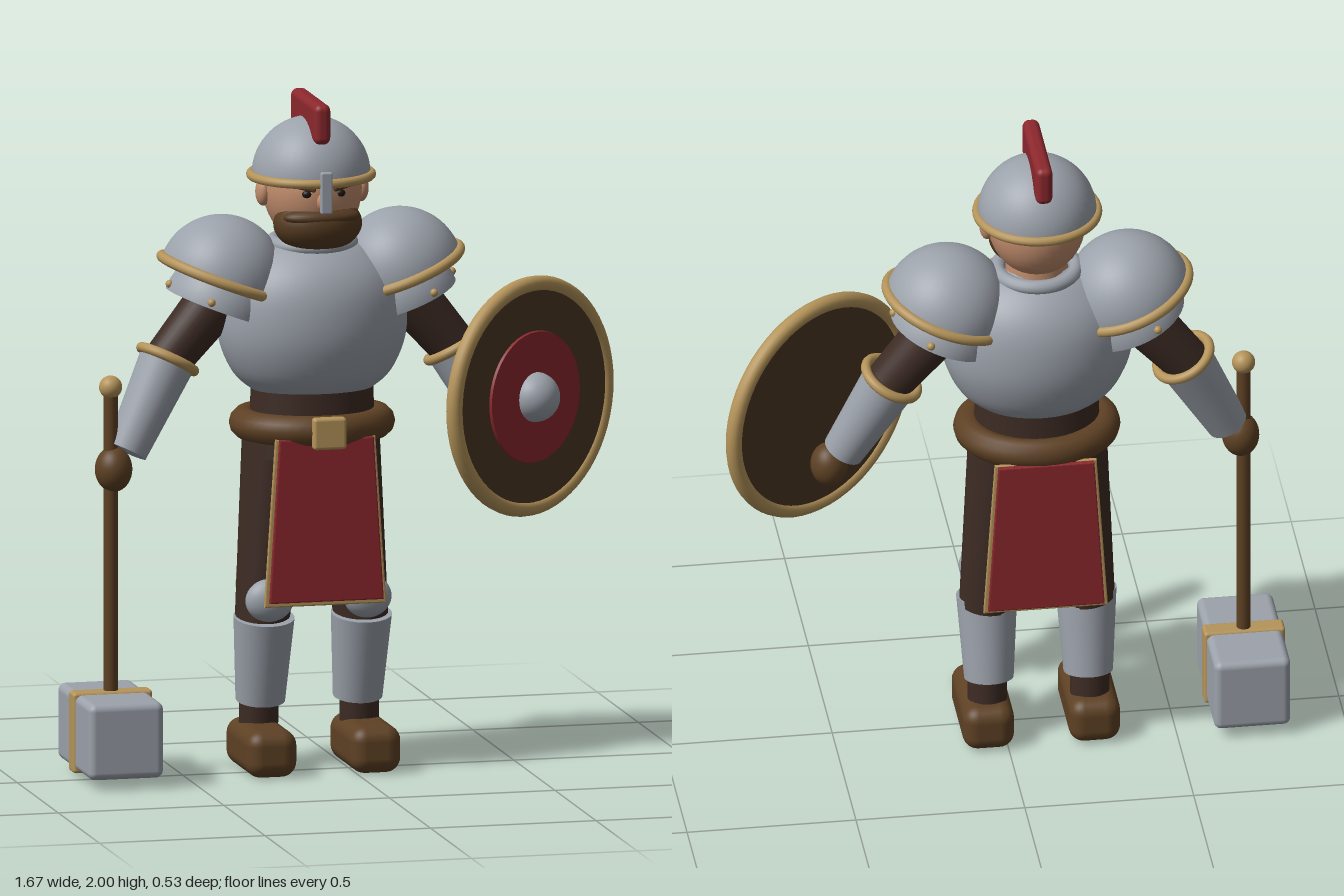
import * as THREE from 'three';
import { RoundedBoxGeometry } from 'three/addons/geometries/RoundedBoxGeometry.js';

const mat = (name, color, side = THREE.FrontSide) => {
  const m = new THREE.MeshStandardMaterial({ color, side });
  m.name = name;
  return m;
};

export function createModel() {
  const steel = mat('steel', 0x9ca2ab, THREE.DoubleSide);
  const gold = mat('brass', 0xb5945a);
  const red = mat('red', 0x8c282d);
  const leather = mat('leather', 0x5e4124);
  const cloth = mat('dark cloth', 0x3d2b24);
  const wood = mat('shield wood', 0x4d3824);
  const hair = mat('hair', 0x553a20);
  const skin = mat('skin', 0xc08c6c);
  const black = mat('eye black', 0x1c1614);

  const model = new THREE.Group();
  model.name = 'armouredWarrior';
  const body = new THREE.Group();
  body.name = 'body';
  body.position.x = -0.1;
  model.add(body);

  const V = (x, y, z) => new THREE.Vector3(x, y, z);
  const add = (parent, name, geo, material, x = 0, y = 0, z = 0) => {
    const m = new THREE.Mesh(geo, material);
    m.name = name;
    m.position.set(x, y, z);
    parent.add(m);
    return m;
  };
  const ball = (parent, name, material, p, rx, ry = rx, rz = rx) => {
    const m = add(parent, name, new THREE.SphereGeometry(1, 32, 20), material, ...p);
    m.scale.set(rx, ry, rz);
    return m;
  };
  const box = (parent, name, material, p, w, h, d, r) =>
    add(parent, name, new RoundedBoxGeometry(w, h, d, 4, r), material, ...p);
  const dome = (r) => new THREE.SphereGeometry(r, 40, 16, 0, Math.PI * 2, 0, Math.PI / 2);
  // flat ring around the y axis
  const ring = (R, t) => new THREE.TorusGeometry(R, t, 12, 48).rotateX(Math.PI / 2);
  // tapered limb from a to b
  const limb = (name, material, a, b, ra, rb) => {
    const d = b.clone().sub(a);
    const m = add(body, name, new THREE.CylinderGeometry(rb, ra, d.length(), 32), material);
    m.position.copy(a).addScaledVector(d, 0.5);
    m.quaternion.setFromUnitVectors(V(0, 1, 0), d.normalize());
    return m;
  };

  // breastplate, collar, waist, belt
  const profile = new THREE.SplineCurve([[0.17, 1.13], [0.23, 1.18], [0.27, 1.26], [0.283, 1.34],
    [0.272, 1.43], [0.235, 1.5], [0.17, 1.555], [0.1, 1.585]].map(([r, y]) => new THREE.Vector2(r, y)));
  add(body, 'breastplate', new THREE.LatheGeometry(profile.getPoints(32), 48), steel, 0, 0, -0.04).scale.z = 0.79;
  add(body, 'collar', ring(0.115, 0.022), steel, 0, 1.57, -0.04);
  add(body, 'neck', new THREE.CylinderGeometry(0.085, 0.095, 0.14, 24), skin, 0, 1.6, -0.04);
  add(body, 'waist', new THREE.CylinderGeometry(0.18, 0.19, 0.24, 40), cloth, 0, 1.06, -0.04).scale.z = 0.8;
  add(body, 'belt', ring(0.2, 0.046), leather, 0, 1.035, -0.04).scale.z = 0.86;
  box(body, 'buckle', gold, [0, 1.035, 0.17], 0.1, 0.095, 0.035, 0.01);

  // front and back hanging cloths with a brass backing
  const panel = (top, bottom, y0, y1, depth) => {
    const s = new THREE.Shape([[-bottom, y0], [bottom, y0], [top, y1], [-top, y1]]
      .map(([x, y]) => new THREE.Vector2(x, y)));
    return new THREE.ExtrudeGeometry(s, { depth, bevelEnabled: true, bevelSize: 0.004, bevelThickness: 0.003, bevelSegments: 2 });
  };
  for (const [name, z, turn] of [['front', 0.117, 0], ['back', -0.222, Math.PI]]) {
    const g = new THREE.Group();
    g.name = name + 'Tabard';
    g.position.z = z;
    g.rotation.y = turn;
    body.add(g);
    add(g, 'tabardTrim', panel(0.147, 0.18, 0.518, 1.01, 0.008), gold);
    add(g, 'tabardCloth', panel(0.138, 0.168, 0.532, 1.01, 0.01), red, 0, 0, 0.014);
  }

  // head and face
  ball(body, 'head', skin, [0, 1.73, -0.035], 0.145, 0.165, 0.155);
  const beard = add(body, 'beard', new THREE.SphereGeometry(1, 32, 16, 0, Math.PI * 2, 0.8, Math.PI - 0.8), hair, 0, 1.637, 0.03);
  beard.scale.set(0.132, 0.087, 0.103);
  ball(body, 'moustache', hair, [0, 1.665, 0.075], 0.115, 0.03, 0.055);
  ball(body, 'nose', skin, [0, 1.715, 0.115], 0.024, 0.03, 0.025);
  for (const s of [1, -1]) {
    ball(body, 'ear', skin, [s * 0.148, 1.725, -0.04], 0.022, 0.042, 0.032);
    ball(body, 'eye', black, [s * 0.05, 1.738, 0.104], 0.015, 0.012, 0.012);
    box(body, 'eyebrow', hair, [s * 0.055, 1.757, 0.108], 0.06, 0.014, 0.016, 0.005).rotation.set(0, s * 0.35, s * 0.2);
  }

  // helmet
  add(body, 'helmetDome', dome(0.175), steel, 0, 1.768, -0.05);
  add(body, 'helmetRim', ring(0.177, 0.014), gold, 0, 1.77, -0.05);
  box(body, 'noseGuard', steel, [0, 1.745, 0.137], 0.036, 0.125, 0.018, 0.006);
  box(body, 'crest', red, [0, 1.94, -0.055], 0.05, 0.12, 0.31, 0.02);

  for (const s of [1, -1]) {
    // shoulder plates
    const plates = [['pauldron', 0.27, 1.472, 0.186], ['lowerPauldron', 0.28, 1.385, 0.163]];
    for (const [name, x, y, r] of plates) {
      const g = new THREE.Group();
      g.name = name;
      g.position.set(s * x, y, -0.055);
      g.rotation.z = s * 0.36;
      body.add(g);
      add(g, name + 'Dome', dome(r), steel);
      if (name === 'pauldron') add(g, 'pauldronRim', ring(r, 0.016), gold);
      else for (const a of [-1.15, 0, 1.15])
        ball(g, 'rivet', gold, [s * r * Math.cos(a), 0.018, r * Math.sin(a)], 0.012);
    }

    // arms
    const elbow = V(s * 0.432, 1.235, -0.055), wrist = V(s * 0.568, 0.975, -0.01);
    limb('upperArm', cloth, V(s * 0.26, 1.44, -0.055), elbow, 0.085, 0.07);
    ball(body, 'elbow', cloth, elbow.toArray(), 0.07);
    const vambrace = limb('vambrace', steel, elbow, wrist, 0.084, 0.062);
    const cuff = add(body, 'vambraceCuff', ring(0.085, 0.015), gold, ...elbow.toArray());
    cuff.quaternion.copy(vambrace.quaternion);
    ball(body, 'hand', leather, [s * 0.609, 0.925, 0], 0.055, 0.067, 0.058);

    // legs
    limb('thigh', cloth, V(s * 0.1, 1.0, -0.055), V(s * 0.15, 0.44, -0.045), 0.105, 0.08);
    ball(body, 'kneeGuard', steel, [s * 0.148, 0.52, 0.04], 0.072, 0.064, 0.045);
    limb('greave', steel, V(s * 0.147, 0.46, -0.03), V(s * 0.147, 0.205, -0.076), 0.09, 0.073);
    limb('ankle', cloth, V(s * 0.152, 0.23, -0.072), V(s * 0.152, 0.1, -0.08), 0.058, 0.058);
    box(body, 'boot', leather, [s * 0.157, 0.073, -0.022], 0.152, 0.14, 0.315, 0.045);
  }

  // war hammer
  const hammer = new THREE.Group();
  hammer.name = 'hammer';
  hammer.position.x = -0.718;
  model.add(hammer);
  add(hammer, 'hammerShaft', new THREE.CylinderGeometry(0.021, 0.021, 1.0, 20), leather, 0, 0.66, 0);
  ball(hammer, 'hammerPommel', gold, [0, 1.17, 0], 0.034);
  box(hammer, 'hammerHead', steel, [0, 0.147, 0], 0.226, 0.226, 0.4, 0.022);
  box(hammer, 'hammerBand', gold, [0, 0.147, 0], 0.24, 0.24, 0.06, 0.01);

  // round shield, built facing +z
  const shield = new THREE.Group();
  shield.name = 'shield';
  shield.position.set(0.535, 1.097, 0.055);
  shield.rotation.y = 0.6;
  model.add(shield);
  add(shield, 'shieldBoard', new THREE.CylinderGeometry(0.335, 0.335, 0.03, 64).rotateX(Math.PI / 2), wood);
  add(shield, 'shieldRim', new THREE.TorusGeometry(0.333, 0.024, 14, 64), gold);
  add(shield, 'shieldRedDisc', new THREE.CylinderGeometry(0.194, 0.196, 0.009, 48).rotateX(Math.PI / 2), red, 0, 0, 0.019);
  add(shield, 'shieldBoss', dome(0.074).rotateX(Math.PI / 2), steel, 0, 0, 0.02);

  return model;
}
